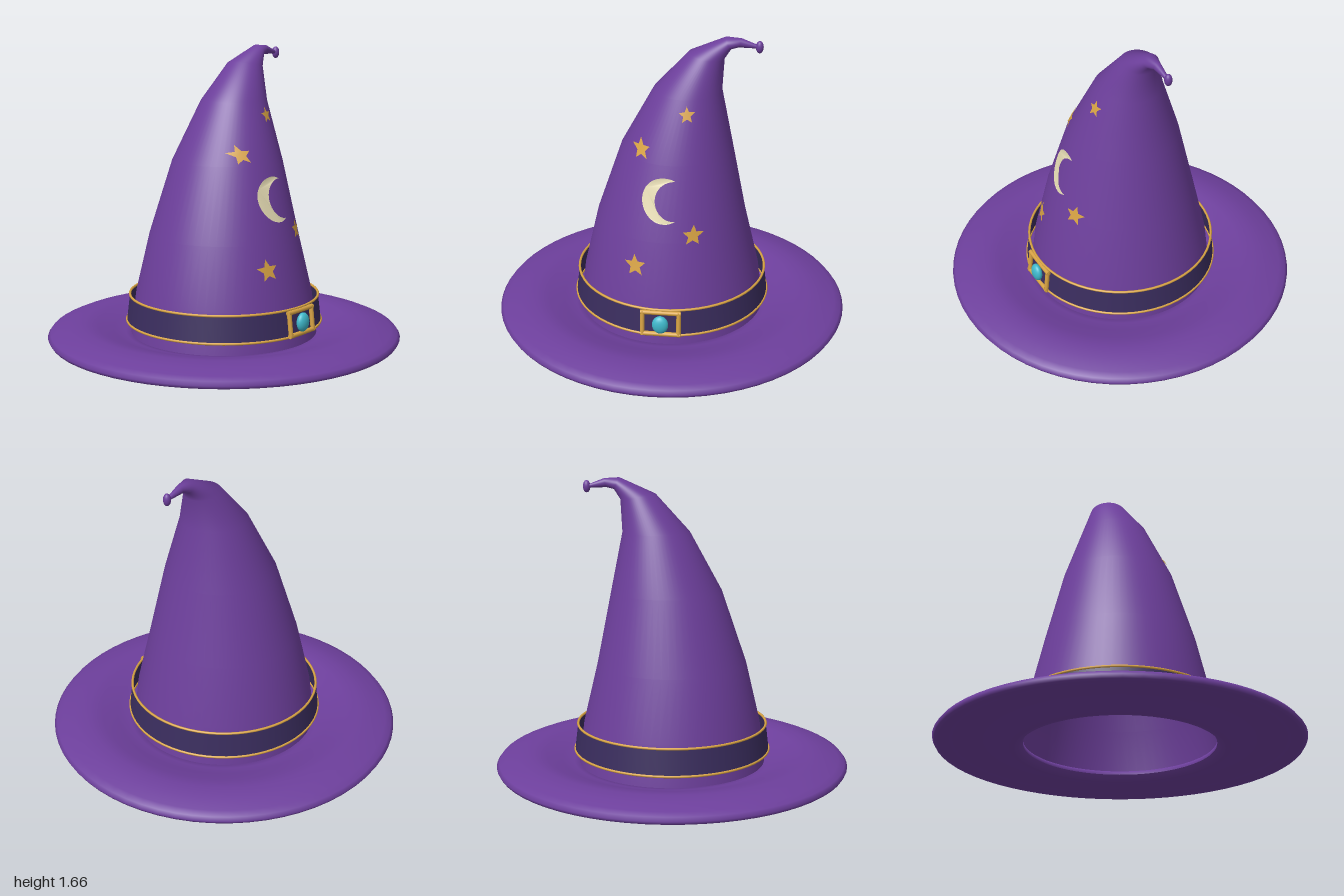
import * as THREE from 'three';

const mat = (name, color, side = THREE.FrontSide) => {
  const m = new THREE.MeshStandardMaterial({ color, side });
  m.name = name;
  return m;
};

// Crown sections: left x, y, right x, y, half depth
const RINGS = [
  [-0.53, 0.04, 0.53, 0.04, 0.53],
  [-0.5, 0.28, 0.5, 0.28, 0.5],
  [-0.42, 0.62, 0.42, 0.62, 0.42],
  [-0.28, 1.03, 0.34, 1.03, 0.31],
  [-0.1, 1.36, 0.275, 1.36, 0.185],
  [0.09, 1.57, 0.285, 1.54, 0.1],
  [0.29, 1.66, 0.32, 1.595, 0.045],
  [0.375, 1.655, 0.36, 1.605, 0.022],
  [0.465, 1.62, 0.46, 1.602, 0.01],
];

// Loft of closed elliptical rings
function loft(rings, n = 64) {
  const pos = [], idx = [];
  rings.forEach(([lx, ly, rx, ry, rz], i) => {
    for (let j = 0; j < n; j++) {
      const a = (j / n) * Math.PI * 2, t = (1 + Math.cos(a)) / 2;
      pos.push(lx + (rx - lx) * t, ly + (ry - ly) * t, rz * Math.sin(a));
      if (i < rings.length - 1) {
        const p = i * n + j, q = i * n + (j + 1) % n;
        idx.push(p, p + n, q, q, p + n, q + n);
      }
    }
  });
  const g = new THREE.BufferGeometry();
  g.setAttribute('position', new THREE.Float32BufferAttribute(pos, 3));
  g.setIndex(idx);
  g.computeVertexNormals();
  return g;
}

// Depth of the crown's front surface at x, y
function crownZ(x, y) {
  let i = 0;
  while (i < 3 && RINGS[i + 1][1] < y) i++;
  const a = RINGS[i], b = RINGS[i + 1], t = (y - a[1]) / (b[1] - a[1]);
  const [l, , r, , d] = a.map((v, k) => v + (b[k] - v) * t);
  const u = (2 * x - l - r) / (r - l);
  return d * Math.sqrt(Math.max(0, 1 - u * u));
}

// Flat shape laid onto the front of the crown
function decal(shape, cx, cy) {
  const g = new THREE.ShapeGeometry(shape, 24);
  const p = g.attributes.position;
  for (let i = 0; i < p.count; i++) {
    const x = p.getX(i) + cx, y = p.getY(i) + cy;
    p.setXYZ(i, x, y, crownZ(x, y) + 0.008);
  }
  g.computeVertexNormals();
  return g;
}

function starShape(r, turn) {
  const pts = [];
  for (let i = 0; i < 10; i++) {
    const a = Math.PI / 2 + turn + i * Math.PI / 5, d = i % 2 ? r * 0.45 : r;
    pts.push(new THREE.Vector2(d * Math.cos(a), d * Math.sin(a)));
  }
  return new THREE.Shape(pts);
}

export function createModel() {
  const hat = new THREE.Group();
  hat.name = 'hat';
  const purple = mat('purple felt', 0x6d3f9c, THREE.DoubleSide);
  const dark = mat('dark band', 0x3a2d5e, THREE.DoubleSide);
  const gold = mat('gold', 0xd6a243);
  const goldFlat = gold;
  const cream = mat('cream moon', 0xe6dcb4);
  const teal = mat('teal gem', 0x3fb9cc);

  const add = (name, geo, m, parent = hat) => {
    const mesh = new THREE.Mesh(geo, m);
    mesh.name = name;
    parent.add(mesh);
    return mesh;
  };

  // Brim: shallow dish with a drooping edge
  const profile = [
    [0.52, 0.03], [0.54, 0.005], [0.57, 0], [0.62, 0.01], [0.7, 0.035], [0.8, 0.05],
    [0.9, 0.035], [0.97, 0.018], [0.99, 0.022], [1, 0.04], [0.985, 0.06], [0.95, 0.075],
    [0.88, 0.095], [0.8, 0.11], [0.72, 0.1], [0.63, 0.07], [0.56, 0.053], [0.52, 0.05], [0.52, 0.03],
  ].map(([x, y]) => new THREE.Vector2(x, y));
  add('brim', new THREE.LatheGeometry(profile, 64), purple);

  // Crown with its bent tip and end bobble
  add('crown', loft(RINGS), purple);
  const bobble = add('tipBobble', new THREE.SphereGeometry(1, 20, 14), purple);
  bobble.scale.set(0.021, 0.034, 0.021);
  bobble.position.set(0.471, 1.61, 0);

  // Band and its two gold trims
  const band = [[0.553, 0.12], [0.535, 0.27]].map(([x, y]) => new THREE.Vector2(x, y));
  add('band', new THREE.LatheGeometry(band, 64), dark);
  for (const [name, r, y] of [['lowerTrim', 0.553, 0.122], ['upperTrim', 0.535, 0.27]]) {
    const trim = add(name, new THREE.TorusGeometry(r, 0.007, 8, 64), gold);
    trim.rotation.x = Math.PI / 2;
    trim.position.y = y;
  }

  // Buckle: four rounded bars around a gem
  const buckle = new THREE.Group();
  buckle.name = 'buckle';
  buckle.position.set(0, 0.192, 0.545);
  buckle.rotation.x = -0.11;
  hat.add(buckle);
  for (const s of [-1, 1]) {
    const bar = add('buckleBar', new THREE.CylinderGeometry(0.013, 0.013, 0.222, 12), gold, buckle);
    bar.rotation.z = Math.PI / 2;
    bar.position.y = s * 0.063;
    const side = add('buckleSide', new THREE.CylinderGeometry(0.013, 0.013, 0.14, 12), gold, buckle);
    side.position.x = s * 0.1;
  }
  const gem = add('gem', new THREE.SphereGeometry(1, 24, 16), teal);
  gem.scale.set(0.045, 0.053, 0.028);
  gem.position.set(0, 0.19, 0.557);

  // Crescent moon
  const moon = new THREE.Shape();
  moon.absarc(0, 0, 0.122, 1.056, Math.PI * 2 - 1.056, false);
  moon.absarc(0.055, 0, 0.106, Math.PI * 2 - 1.523, 1.523, true);
  add('moon', decal(moon, 0, 0.845), cream);

  // Stars
  for (const [x, y, r, turn] of [
    [0.105, 1.288, 0.045, 0.05], [-0.14, 1.09, 0.054, 0.1],
    [0.16, 0.66, 0.058, -0.05], [-0.152, 0.483, 0.062, 0.08],
  ]) add('star', decal(starShape(r, turn), x, y), goldFlat);

  return hat;
}
